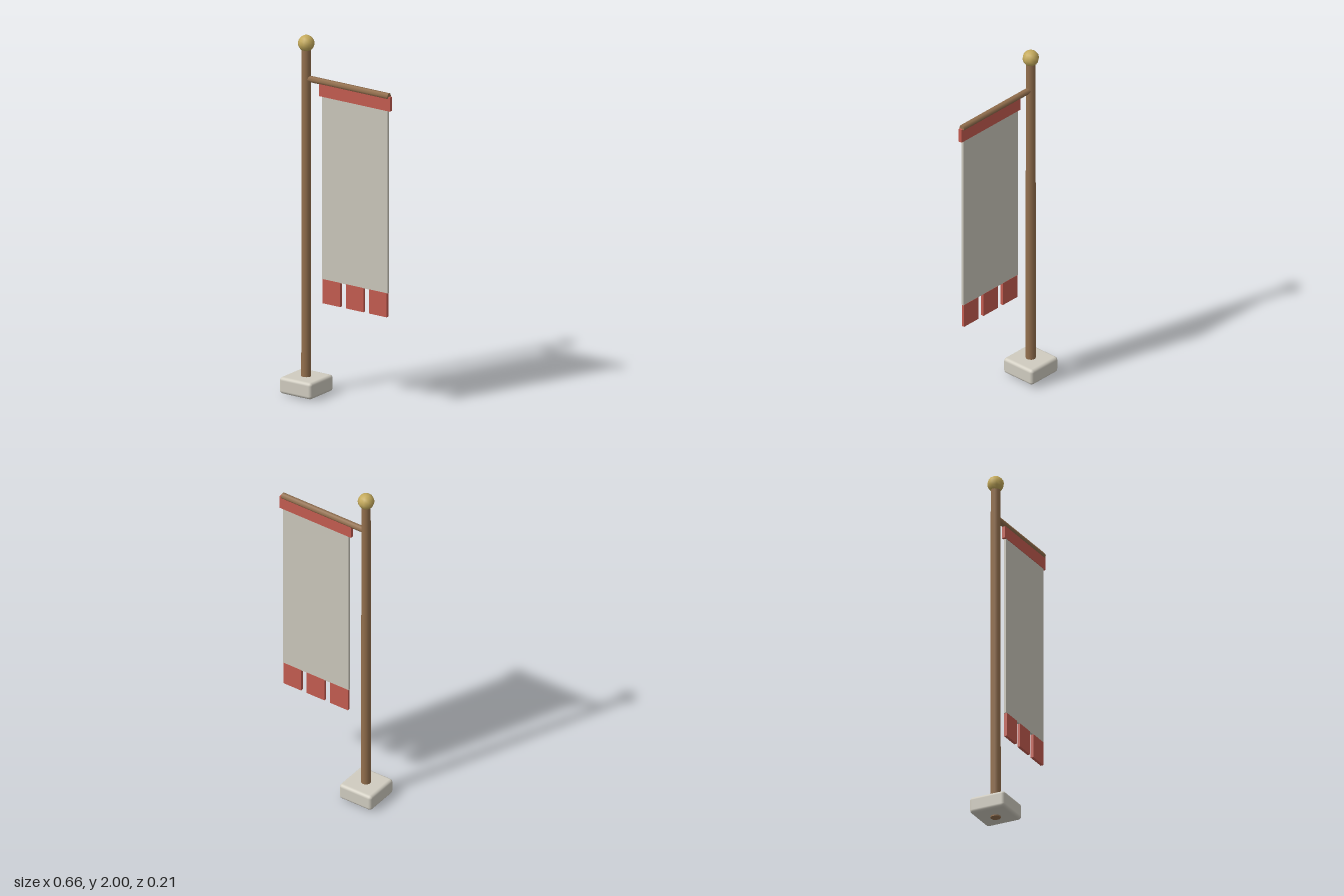
import * as THREE from 'three';
import { RoundedBoxGeometry } from 'three/addons/geometries/RoundedBoxGeometry.js';

const material = (name, color) => {
  const m = new THREE.MeshStandardMaterial({ color });
  m.name = name;
  return m;
};

export function createModel() {
  const wood = material('wood', 0x94704e);
  const stone = material('stone', 0xd0ccc0);
  const cloth = material('cloth', 0xcbc7bb);
  const red = material('red trim', 0xc45c50);
  const gold = material('gold', 0xc4aa5c);

  const model = new THREE.Group();
  model.name = 'bannerPole';
  const add = (name, geometry, mat, x, y, z = 0) => {
    const mesh = new THREE.Mesh(geometry, mat);
    mesh.name = name;
    mesh.position.set(x, y, z);
    model.add(mesh);
    return mesh;
  };

  const poleX = -0.228;

  // Foot block, with the pole running through it to the ground
  add('base', new RoundedBoxGeometry(0.21, 0.092, 0.21, 3, 0.018), stone, poleX, 0.053);
  add('pole', new THREE.CylinderGeometry(0.026, 0.028, 1.93, 10), wood, poleX, 0.965);
  add('finial', new THREE.SphereGeometry(0.045, 10, 8), gold, poleX, 1.955);

  // Six-sided crossbar
  const arm = add('crossbar', new THREE.CylinderGeometry(0.0175, 0.0175, 0.535, 6), wood, 0.0475, 1.76);
  arm.rotation.z = -Math.PI / 2;

  // Hanging banner: header band, cloth and three tabs
  add('headerBand', new THREE.BoxGeometry(0.464, 0.078, 0.02), red, 0.095, 1.718);
  add('bannerCloth', new THREE.BoxGeometry(0.428, 1.03, 0.014), cloth, 0.094, 1.175);
  for (const x of [-0.058, 0.095, 0.247]) {
    add('bannerTab', new THREE.BoxGeometry(0.115, 0.135, 0.016), red, x, 0.594);
  }
  return model;
}
